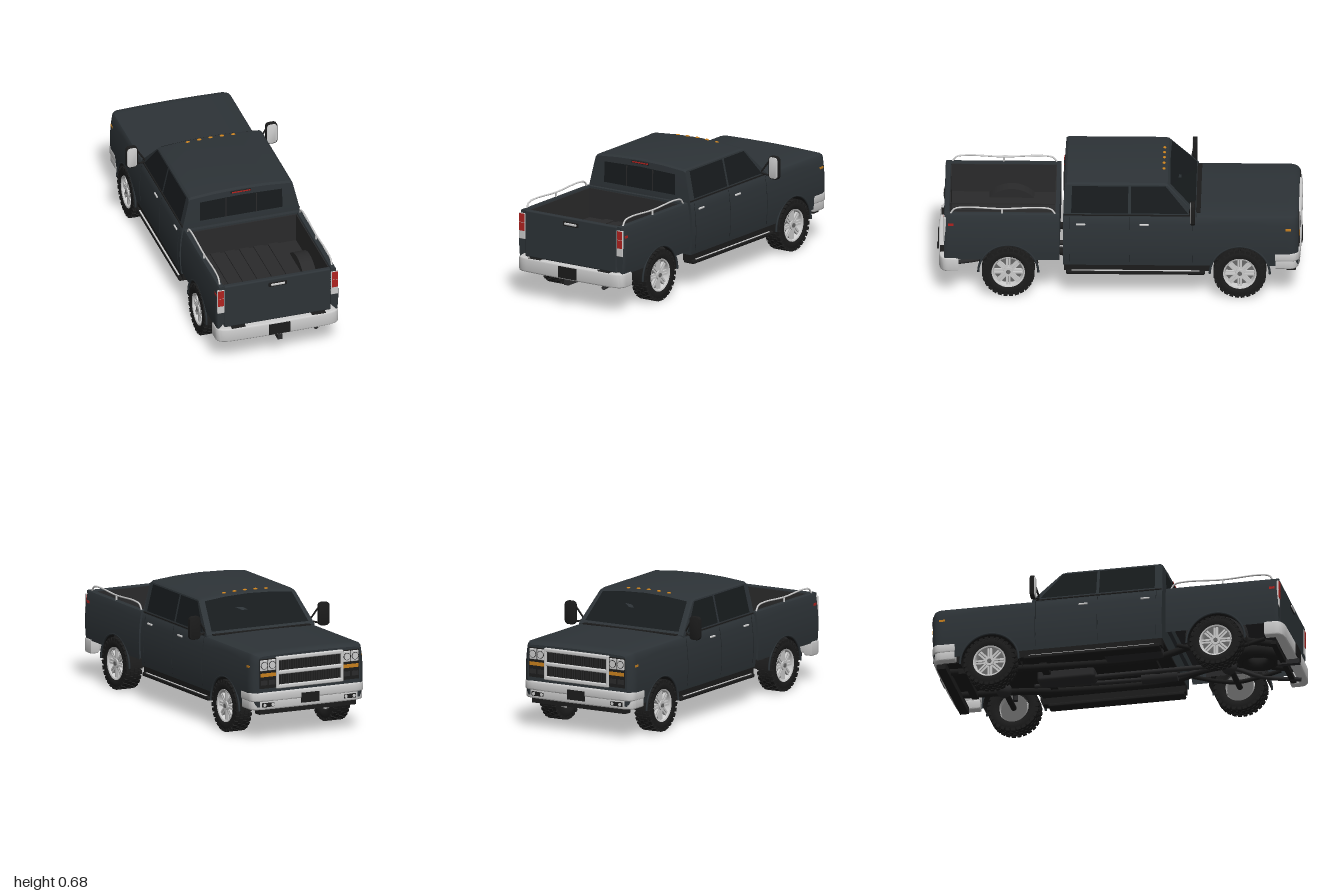
import * as THREE from 'three';
import { mergeGeometries, toCreasedNormals } from 'three/addons/utils/BufferGeometryUtils.js';
import { RoundedBoxGeometry } from 'three/addons/geometries/RoundedBoxGeometry.js';

const BODY = 0x2d3337, GLASS = 0x171b1d, BLACK = 0x1c1c1c, DARK = 0x2a2a2b, CHROME = 0xcccccc, RED = 0xb0221f, AMBER = 0xc8801e;
const GAP = 0x22272a, STEEL = 0x6a6a6a;
const mats = {};
const mat = c => (mats[c] ??= new THREE.MeshStandardMaterial({ color: c, side: THREE.DoubleSide }));

function add(parent, name, geo, color, x = 0, y = 0, z = 0) {
  const m = new THREE.Mesh(geo, mat(color));
  m.name = name;
  m.position.set(x, y, z);
  parent.add(m);
  return m;
}
const box = (p, name, color, w, h, d, x, y, z) => add(p, name, new THREE.BoxGeometry(w, h, d), color, x, y, z);
const rbox = (p, name, color, w, h, d, x, y, z, r = 0.008) => add(p, name, new RoundedBoxGeometry(w, h, d, 3, r), color, x, y, z);
const tube = (p, name, color, pts, r, n = 24) =>
  add(p, name, new THREE.TubeGeometry(new THREE.CatmullRomCurve3(pts.map(q => new THREE.Vector3(...q))), n, r, 8), color);
const rod = (p, name, color, r, len, x, y, z, axis = 'x') => {
  const g = new THREE.CylinderGeometry(r, r, len, 16);
  if (axis === 'x') g.rotateZ(Math.PI / 2);
  if (axis === 'z') g.rotateX(Math.PI / 2);
  return add(p, name, g, color, x, y, z);
};
// Upright plate with rounded corners, centred, facing z
function plate(p, name, color, w, h, d, r, x, y, z) {
  const s = new THREE.Shape(), b = 0.003, a = w / 2 - b, c = h / 2 - b;
  s.absarc(a - r, c - r, r, 0, Math.PI / 2).absarc(r - a, c - r, r, Math.PI / 2, Math.PI);
  s.absarc(r - a, r - c, r, Math.PI, Math.PI * 1.5).absarc(a - r, r - c, r, Math.PI * 1.5, Math.PI * 2);
  const geo = new THREE.ExtrudeGeometry(s, { depth: d - 2 * b, bevelSize: b, bevelThickness: b, bevelSegments: 2, curveSegments: 8 });
  return add(p, name, toCreasedNormals(geo.translate(0, 0, b - d / 2), 0.6), color, x, y, z);
}

// Skin through equal-length cross-sections; both ends are closed by fans
function loft(sections, crease = 0.5) {
  const n = sections[0].length, pos = sections.flat(2), idx = [];
  for (let i = 0; i < sections.length - 1; i++)
    for (let j = 0; j < n - 1; j++) {
      const a = i * n + j, b = a + n;
      idx.push(a, b, a + 1, b, b + 1, a + 1);
    }
  [0, sections.length - 1].forEach((s, e) => {
    const c = pos.length / 3, mid = [0, 1, 2].map(k => sections[s].reduce((t, p) => t + p[k], 0) / n);
    pos.push(...mid);
    for (let j = 0; j < n; j++) {
      const a = s * n + j, b = s * n + (j + 1) % n;
      idx.push(...(e ? [c, b, a] : [c, a, b]));
    }
  });
  const g = new THREE.BufferGeometry();
  g.setAttribute('position', new THREE.Float32BufferAttribute(pos, 3));
  g.setIndex(idx);
  return toCreasedNormals(g, crease);
}
// Flat polygon whose 2D points are placed in space by a rule
function panel(pts, place) {
  const g = new THREE.ShapeGeometry(new THREE.Shape(pts.map(p => new THREE.Vector2(...p))));
  const a = g.attributes.position;
  for (let i = 0; i < a.count; i++) a.setXYZ(i, ...place(a.getX(i), a.getY(i)));
  g.computeVertexNormals();
  return g;
}

const AXLES = { rear: 0.605, front: -0.66 }, HUB = 0.145, ARCH = 0.162;
const sideX = y => 0.353 - 0.6 * (y - 0.32) ** 2;
const cabX = y => 0.335 - 0.038 * (y - 0.49) / 0.165;
const bottom = (z, zc, base) => {
  const d = ARCH ** 2 - (z - zc) ** 2;
  return d > 0 ? Math.max(base, HUB + Math.sqrt(d)) : base;
};
const range = (a, b, n) => Array.from({ length: n + 1 }, (_, i) => a + (b - a) * i / n);

function bodywork(g) {
  // Doors, front wings and bonnet in one skin with a rounded nose
  add(g, 'frontBody', loft(range(0.305, -0.98, 130).map(z => {
    const t = Math.max(0, (-0.925 - z) / 0.056), r = 1 - Math.sqrt(Math.max(0, 1 - t * t));
    const top = 0.487 - 0.02 * r, b = bottom(z, AXLES.front, 0.19), w = 0.04 * r;
    const half = range(b, top - 0.015, 8).map(y => [sideX(y) - w, y, z]);
    const e = sideX(top) - w;
    half.push([e - 0.004, top - 0.005, z], [e - 0.02, top, z], [e * 0.5, top + 0.004, z]);
    return [...half, [0, top + 0.006, z], ...half.map(([x, y]) => [-x, y, z]).reverse()];
  })), BODY);

  // Cab above the waist, with the raked windscreen
  add(g, 'cabRoof', loft([[0.305, 0], [0.302, 0.5], [0.297, 0.95], [0.285, 1], [-0.24, 1], [-0.265, 0.97], [-0.425, 0]].map(([z, h]) => {
    const y = 0.49 + 0.165 * h, x = cabX(y);
    const half = [[0.335, 0.475, z], [x, y, z], [x - 0.012, y + 0.008 * h, z], [0.15, y + 0.02 * h, z]];
    return [...half, [0, y + 0.025 * h, z], ...half.map(([a, b]) => [-a, b, z]).reverse()];
  }), 0.35), BODY);

  // Cargo bed sides with rolled rails
  for (const s of [1, -1])
    add(g, 'bedSide', loft(range(0.325, 0.955, 70).map(z => {
      const r = Math.max(0, (z - 0.935) / 0.02) ** 2 * 0.006, b = bottom(z, AXLES.rear, 0.22);
      const pts = range(b, 0.475, 8).map(y => [s * (sideX(y) - r), y, z]);
      return [...pts, [s * 0.334, 0.487, z], [s * 0.325, 0.49, z], [s * 0.308, 0.49, z], [s * 0.305, 0.48, z], [s * 0.305, Math.max(b, 0.26), z]];
    })), BODY);
  box(g, 'bedFrontWall', BODY, 0.62, 0.25, 0.022, 0, 0.365, 0.337);
  rbox(g, 'tailgate', BODY, 0.612, 0.262, 0.03, 0, 0.358, 0.942);
  box(g, 'bedFloor', DARK, 0.61, 0.03, 0.59, 0, 0.3, 0.637);
  for (let i = -2; i <= 2; i++) box(g, 'floorRib', DARK, 0.055, 0.008, 0.57, i * 0.083, 0.318, 0.637);
  for (const z of [0.35, 0.925]) box(g, 'bedEndLiner', DARK, 0.608, 0.17, 0.006, 0, 0.395, z);
  for (const s of [1, -1]) {
    box(g, 'bedLiner', DARK, 0.006, 0.17, 0.58, s * 0.303, 0.395, 0.637);
    const housing = new THREE.CylinderGeometry(0.168, 0.168, 0.08, 28, 1, false, 0, Math.PI).rotateZ(Math.PI / 2);
    add(g, 'innerWheelHousing', housing, DARK, s * 0.265, 0.2, 0.595);
    tube(g, 'bedRail', CHROME, [[0.322, 0.488, 0.92], [0.322, 0.515, 0.9], [0.322, 0.525, 0.84], [0.322, 0.517, 0.64], [0.322, 0.525, 0.43], [0.322, 0.515, 0.37], [0.322, 0.488, 0.35]].map(p => [s * p[0], p[1], p[2]]), 0.005, 40);
    rod(g, 'railPost', CHROME, 0.005, 0.03, s * 0.322, 0.503, 0.64, 'y');
    for (const zc of Object.values(AXLES)) {
      const lip = new THREE.TorusGeometry(ARCH + 0.002, 0.006, 6, 32, Math.PI).rotateY(Math.PI / 2);
      add(g, 'archLip', lip, BODY, s * 0.348, HUB, zc);
      const liner = new THREE.CylinderGeometry(ARCH, ARCH, 0.12, 28, 1, true, 0, Math.PI).rotateZ(Math.PI / 2);
      add(g, 'wheelArchLiner', liner, BLACK, s * 0.288, HUB, zc);
    }
  }
}

function glassAndTrim(g) {
  const [low, high] = [0.5, 0.648];
  for (const s of [1, -1]) {
    const onCab = (z, y) => [s * (cabX(y) + 0.002), y, z];
    add(g, 'rearSideWindow', panel([[0.262, low], [0.257, high], [-0.05, high], [-0.05, low]], onCab), GLASS);
    add(g, 'frontSideWindow', panel([[-0.066, low], [-0.066, high], [-0.255, high], [-0.378, low]], onCab), GLASS);
    // Door gaps follow the curve of the side
    for (const z of [0.27, -0.058, -0.405])
      add(g, 'doorGap', panel([...range(0.21, 0.48, 8).map(y => [z, y]), ...range(0.48, 0.21, 8).map(y => [z + 0.003, y])], (a, y) => [s * (sideX(y) + 0.002), y, a]), GAP);
    box(g, 'waistTrim', BLACK, 0.008, 0.006, 0.7, s * 0.334, 0.489, -0.05);
    for (const z of [0.21, -0.137]) rbox(g, 'doorHandle', CHROME, 0.01, 0.011, 0.052, s * 0.346, 0.437, z, 0.004);
    box(g, 'frontMarker', AMBER, 0.006, 0.012, 0.032, s * 0.346, 0.412, -0.925);
    box(g, 'rearMarker', RED, 0.006, 0.014, 0.03, s * 0.344, 0.43, 0.92);
    // Towing mirror
    const mirror = new THREE.Group();
    mirror.name = 'mirror';
    plate(mirror, 'mirrorShell', BLACK, 0.066, 0.13, 0.024, 0.018, s * 0.401, 0.537, -0.404);
    plate(mirror, 'mirrorGlass', CHROME, 0.057, 0.12, 0.008, 0.015, s * 0.401, 0.537, -0.393);
    tube(mirror, 'mirrorArm', BLACK, [[s * 0.325, 0.505, -0.385], [s * 0.375, 0.58, -0.402]], 0.005, 2);
    tube(mirror, 'mirrorArm', BLACK, [[s * 0.325, 0.5, -0.385], [s * 0.375, 0.488, -0.402]], 0.005, 2);
    g.add(mirror);
    // Running board
    box(g, 'sill', BLACK, 0.05, 0.05, 0.8, s * 0.31, 0.177, -0.1);
    rbox(g, 'runningBoard', BLACK, 0.07, 0.022, 0.76, s * 0.317, 0.146, -0.09);
    for (const x of [0.326, 0.343]) box(g, 'stepStrip', CHROME, 0.009, 0.004, 0.7, s * x, 0.157, -0.09);
  }
  const onScreen = (x, h) => [x, 0.494 + 0.186 * h - 0.18 * x * x * h, -0.43 + 0.165 * h];
  add(g, 'windscreen', panel([[-0.3, 0.08], [0.3, 0.08], [0.27, 0.9], [0.14, 0.92], [0, 0.93], [-0.14, 0.92], [-0.27, 0.9]], onScreen), GLASS);
  box(g, 'cowl', BLACK, 0.6, 0.006, 0.03, 0, 0.492, -0.43);
  add(g, 'rearWindow', panel([[-0.237, 0.515], [0.237, 0.515], [0.235, 0.63], [0, 0.637], [-0.235, 0.63]], (x, y) => [x, y, 0.307 - 0.03 * (y - 0.49)]), GLASS);
  for (const x of [-0.087, 0.087]) box(g, 'rearWindowDivider', DARK, 0.006, 0.115, 0.006, x, 0.573, 0.305);
  rbox(g, 'highBrakeLight', BLACK, 0.118, 0.014, 0.01, 0, 0.658, 0.297, 0.004);
  box(g, 'highBrakeLens', RED, 0.106, 0.007, 0.012, 0, 0.658, 0.298);
  for (let i = -2; i <= 2; i++) {
    const lamp = add(g, 'roofLamp', new THREE.SphereGeometry(0.013, 12, 8), AMBER, i * 0.065, 0.679 - 0.0012 * i * i, -0.242);
    lamp.scale.set(1, 0.45, 0.7);
  }
}

// U-shaped bumper bar, wrapping back along both sides; its face points to -z
function bumper(g, name, face, back, h, y, w = 0.345) {
  const s = new THREE.Shape(), r = 0.05, t = 0.035;
  s.moveTo(-w, back).lineTo(-w, face - r).quadraticCurveTo(-w, face - 0.008, -w + r + 0.02, face - 0.005);
  s.quadraticCurveTo(0, face + 0.005, w - r - 0.02, face - 0.005).quadraticCurveTo(w, face - 0.008, w, face - r);
  s.lineTo(w, back).lineTo(w - t, back).lineTo(w - t, face - t - 0.01).lineTo(t - w, face - t - 0.01).lineTo(t - w, back).closePath();
  const geo = new THREE.ExtrudeGeometry(s, { depth: h - 0.016, bevelSize: 0.007, bevelThickness: 0.008, bevelSegments: 3, curveSegments: 10 });
  return add(g, name, toCreasedNormals(geo.rotateX(-Math.PI / 2), 0.6), CHROME, 0, y + 0.008, 0);
}

function ends(g) {
  bumper(g, 'frontBumperUpper', 0.988, 0.86, 0.05, 0.22);
  bumper(g, 'frontBumperLower', 0.982, 0.862, 0.055, 0.173, 0.342);
  bumper(g, 'rearBumper', 0.982, 0.885, 0.08, 0.147).rotation.y = Math.PI;
  box(g, 'frontValance', BLACK, 0.6, 0.04, 0.05, 0, 0.165, -0.94);
  box(g, 'frontPlate', BLACK, 0.11, 0.055, 0.012, 0, 0.222, -0.993);
  box(g, 'rearPlate', BLACK, 0.12, 0.064, 0.012, 0, 0.187, 0.988);
  for (const s of [1, -1]) {
    box(g, 'bumperStepPad', BLACK, 0.08, 0.005, 0.03, s * 0.23, 0.226, 0.965);
    // Head lamps and signals
    box(g, 'lampSurround', BLACK, 0.1, 0.165, 0.012, s * 0.257, 0.375, -0.979);
    for (const x of [0.232, 0.282]) {
      rbox(g, 'headlampBezel', CHROME, 0.047, 0.062, 0.014, s * x, 0.422, -0.981, 0.005);
      rod(g, 'headlampRing', DARK, 0.021, 0.006, s * x, 0.422, -0.987, 'z');
      rod(g, 'headlamp', CHROME, 0.018, 0.01, s * x, 0.422, -0.987, 'z');
      box(g, 'lowerLamp', DARK, 0.04, 0.026, 0.012, s * x, 0.325, -0.982);
      rod(g, 'fogLamp', CHROME, 0.009, 0.008, s * (x - 0.005), 0.2, -0.985, 'z');
    }
    box(g, 'turnSignal', AMBER, 0.094, 0.02, 0.014, s * 0.257, 0.368, -0.981);
    rbox(g, 'fogLampHousing', BLACK, 0.08, 0.026, 0.012, s * 0.252, 0.2, -0.98, 0.004);
    // Tail lamps
    rbox(g, 'tailLampFrame', CHROME, 0.042, 0.148, 0.012, s * 0.326, 0.397, 0.952, 0.004);
    box(g, 'tailLamp', RED, 0.035, 0.048, 0.014, s * 0.327, 0.443, 0.953);
    box(g, 'brakeLamp', RED, 0.035, 0.046, 0.014, s * 0.327, 0.393, 0.953);
  }
  // Grille: mesh, upright slats, bright frame and crossbar
  box(g, 'grilleMesh', BLACK, 0.4, 0.17, 0.01, 0, 0.375, -0.979);
  for (let i = -13; i <= 13; i++) box(g, 'grilleSlat', DARK, 0.004, 0.16, 0.008, i * 0.0145, 0.375, -0.984);
  for (const y of [0.297, 0.375, 0.453]) rbox(g, 'grilleBar', CHROME, 0.414, 0.022, 0.022, 0, y, -0.985, 0.007);
  for (const x of [-0.2, 0.2]) rbox(g, 'grilleUpright', CHROME, 0.016, 0.176, 0.022, x, 0.375, -0.985, 0.006);
  rbox(g, 'tailgateHandleRecess', BLACK, 0.104, 0.026, 0.008, 0, 0.455, 0.957, 0.003);
  rbox(g, 'tailgateHandle', CHROME, 0.08, 0.013, 0.012, 0, 0.455, 0.96, 0.004);
  // Hitch
  box(g, 'hitchCrossbar', BLACK, 0.52, 0.02, 0.03, 0, 0.14, 0.91);
  box(g, 'hitchReceiver', DARK, 0.028, 0.028, 0.12, 0, 0.135, 0.94);
}

function wheel(g, x, z) {
  const w = new THREE.Group();
  w.name = 'wheel';
  const lathe = pts => new THREE.LatheGeometry(pts.map(p => new THREE.Vector2(...p)), 40).rotateZ(-Math.PI / 2);
  add(w, 'tyre', toCreasedNormals(lathe([[0.086, -0.04], [0.1, -0.048], [0.125, -0.048], [0.139, -0.041], [0.139, 0.041], [0.125, 0.048], [0.1, 0.048], [0.086, 0.04]]), 0.7), BLACK);
  // Staggered tread blocks and shoulder lugs
  const blocks = [];
  for (let i = 0; i < 28; i++)
    [-0.038, -0.013, 0.013, 0.038].forEach((bx, k) => {
      const outer = k % 3 === 0;
      blocks.push(new THREE.BoxGeometry(outer ? 0.021 : 0.02, outer ? 0.018 : 0.01, 0.021)
        .translate(bx, outer ? 0.135 : 0.139, 0).rotateX((i + (k % 2) * 0.5) * Math.PI / 14));
    });
  add(w, 'tread', mergeGeometries(blocks), BLACK);
  add(w, 'rim', toCreasedNormals(lathe([[0.078, -0.04], [0.078, 0.03], [0.083, 0.042], [0.091, 0.045], [0.092, 0.038]]), 0.6), CHROME);
  rod(w, 'brakeDisc', STEEL, 0.078, 0.01, 0.004, 0, 0);
  const spokes = [];
  for (let i = 0; i < 8; i++)
    for (const o of [-0.0075, 0.0075])
      spokes.push(new THREE.BoxGeometry(0.014, 0.062, 0.011).translate(0.028, 0.05, o).rotateX(i * Math.PI / 4));
  add(w, 'spokes', mergeGeometries(spokes), CHROME);
  rod(w, 'hub', CHROME, 0.026, 0.03, 0.026, 0, 0);
  rod(w, 'hubCap', STEEL, 0.012, 0.008, 0.042, 0, 0);
  w.position.set(x, HUB, z);
  if (x < 0) w.rotation.y = Math.PI;
  g.add(w);
}

function chassis(g) {
  box(g, 'floorPan', BLACK, 0.62, 0.02, 0.8, 0, 0.2, -0.1);
  box(g, 'engineBay', BLACK, 0.44, 0.24, 0.5, 0, 0.33, -0.7);
  for (const s of [1, -1]) {
    tube(g, 'frameRail', BLACK, [[s * 0.15, 0.19, -0.93], [s * 0.15, 0.18, -0.6], [s * 0.16, 0.165, -0.35], [s * 0.16, 0.165, 0.25], [s * 0.16, 0.215, 0.45], [s * 0.16, 0.225, 0.65], [s * 0.16, 0.17, 0.93]], 0.02, 40);
    tube(g, 'leafSpring', BLACK, [[s * 0.21, 0.2, 0.36], [s * 0.21, 0.16, 0.5], [s * 0.21, 0.145, 0.605], [s * 0.21, 0.16, 0.72], [s * 0.21, 0.19, 0.85]], 0.012);
    rod(g, 'shockAbsorber', DARK, 0.014, 0.13, s * 0.19, 0.21, -0.63, 'y');
    for (const z of [AXLES.rear, AXLES.front]) wheel(g, s * 0.306, z);
  }
  for (const z of [-0.85, -0.4, 0.2, 0.9]) box(g, 'crossMember', BLACK, 0.34, 0.025, 0.04, 0, 0.18, z);
  [[AXLES.rear, 0], [AXLES.front, 0.03]].forEach(([z, x]) => {
    rod(g, 'axle', BLACK, 0.016, 0.56, 0, HUB, z);
    add(g, 'differential', new THREE.SphereGeometry(0.043, 20, 14), DARK, x, 0.14, z);
  });
  rod(g, 'driveshaft', DARK, 0.013, 0.75, 0, 0.155, 0.21, 'z');
  rbox(g, 'gearbox', DARK, 0.11, 0.07, 0.32, 0, 0.17, -0.3, 0.02);
  rbox(g, 'fuelTank', DARK, 0.12, 0.055, 0.32, -0.225, 0.175, 0.12, 0.015);
  rod(g, 'muffler', DARK, 0.03, 0.2, 0.09, 0.16, 0.2, 'z');
  tube(g, 'exhaust', DARK, [[0.08, 0.17, -0.5], [0.09, 0.16, -0.1], [0.09, 0.16, 0.3], [0.12, 0.2, 0.55], [0.21, 0.16, 0.75], [0.22, 0.13, 0.96]], 0.012, 40);
  add(g, 'spareTyre', new THREE.TorusGeometry(0.09, 0.036, 12, 32).rotateX(Math.PI / 2), BLACK, 0, 0.18, 0.77);
}

export function createModel() {
  const g = new THREE.Group();
  g.name = 'pickupTruck';
  bodywork(g);
  glassAndTrim(g);
  ends(g);
  chassis(g);
  return g;
}
